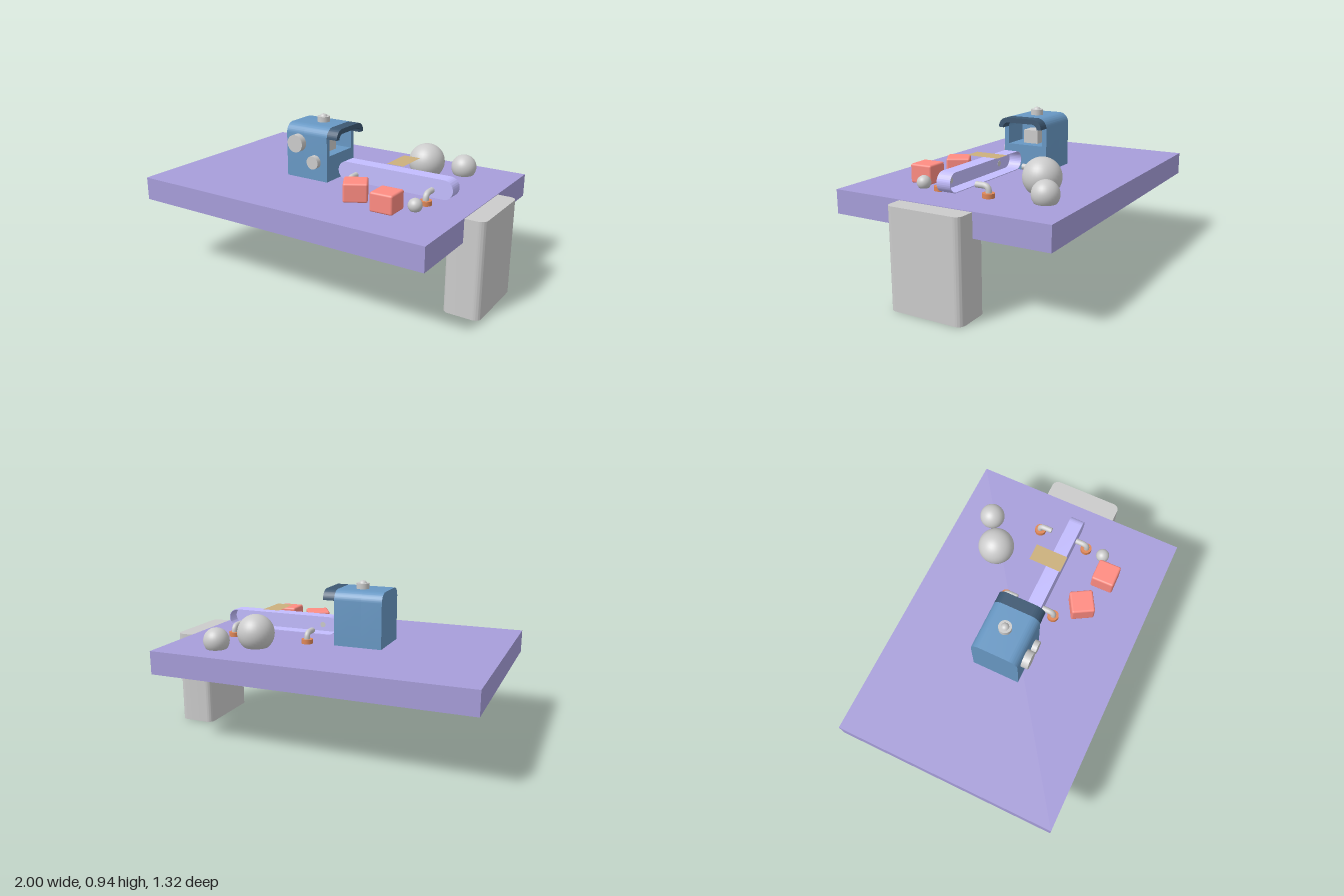
import * as THREE from 'three';
import { toCreasedNormals } from 'three/addons/utils/BufferGeometryUtils.js';
import { RoundedBoxGeometry } from 'three/addons/geometries/RoundedBoxGeometry.js';

const GROUND = 0.57; // height of the platform top
const material = (color) => new THREE.MeshStandardMaterial({ color });
const grey = material(0xcccccc);
const violet = material(0xa79eda);
const lilac = material(0xc3bdff);
const blue = material(0x6898c4);
const darkBlue = material(0x3d5872);
const red = material(0xff8c82);
const orange = material(0xe08858);
const tan = new THREE.MeshStandardMaterial({ color: 0xcbb07c, side: THREE.DoubleSide });

// Rectangle outline with separate corner radii for bottom and top
function roundedRect(path, x0, y0, x1, y1, bottom, top) {
  path.moveTo(x0 + bottom, y0);
  path.lineTo(x1 - bottom, y0);
  if (bottom) path.absarc(x1 - bottom, y0 + bottom, bottom, -Math.PI / 2, 0);
  path.lineTo(x1, y1 - top);
  if (top) path.absarc(x1 - top, y1 - top, top, 0, Math.PI / 2);
  path.lineTo(x0 + top, y1);
  if (top) path.absarc(x0 + top, y1 - top, top, Math.PI / 2, Math.PI);
  path.lineTo(x0, y0 + bottom);
  if (bottom) path.absarc(x0 + bottom, y0 + bottom, bottom, Math.PI, Math.PI * 1.5);
  return path;
}

function extrude(shape, depth) {
  const geometry = new THREE.ExtrudeGeometry(shape, { depth, bevelEnabled: false, curveSegments: 12 });
  return toCreasedNormals(geometry, 0.6);
}

// Extrude a (z, y) outline along x, starting at x0
const extrudeX = (shape, x0, x1) => extrude(shape, x1 - x0).rotateY(Math.PI / 2).translate(x0, 0, 0);

function add(parent, name, geometry, mat, x = 0, y = 0, z = 0) {
  const mesh = new THREE.Mesh(geometry, mat);
  mesh.name = name;
  mesh.position.set(x, y, z);
  parent.add(mesh);
  return mesh;
}

function createMachine() {
  const machine = new THREE.Group();
  machine.name = 'machine';
  const outline = () => roundedRect(new THREE.Shape(), -0.143, GROUND, 0.143, 0.895, 0, 0.06);

  // Solid rear and a front frame with a recessed window
  add(machine, 'machineRear', extrudeX(outline(), -0.325, -0.2), blue);
  const frame = outline();
  frame.holes.push(roundedRect(new THREE.Path(), -0.115, 0.725, 0.115, 0.865, 0, 0.035));
  add(machine, 'machineFrame', extrudeX(frame, -0.2, -0.035), blue);
  add(machine, 'windowBlock', new THREE.BoxGeometry(0.1, 0.08, 0.095), grey, -0.15, 0.765, 0);

  // Arched hood over the window
  const hood = new THREE.Shape();
  hood.moveTo(0.143, 0.835);
  hood.absarc(0.083, 0.835, 0.06, 0, Math.PI / 2);
  hood.absarc(-0.083, 0.835, 0.06, Math.PI / 2, Math.PI);
  hood.lineTo(-0.115, 0.835);
  hood.absarc(-0.082, 0.832, 0.033, Math.PI, Math.PI / 2, true);
  hood.absarc(0.082, 0.832, 0.033, Math.PI / 2, 0, true);
  hood.lineTo(0.115, 0.835);
  add(machine, 'hood', extrudeX(hood, -0.035, 0.035), darkBlue);

  // Dials on the front
  for (const [x, y, r, depth] of [[-0.237, 0.787, 0.053, 0.043], [-0.12, 0.685, 0.04, 0.033]]) {
    const dial = new THREE.CylinderGeometry(r, r, depth, 32).rotateX(Math.PI / 2);
    add(machine, 'dial', dial, grey, x, y, 0.142 + depth / 2);
  }

  // Lamp on the roof
  add(machine, 'lampBase', new THREE.CylinderGeometry(0.038, 0.038, 0.035, 32), grey, -0.163, 0.91, -0.01);
  add(machine, 'lampDome', new THREE.SphereGeometry(0.025, 24, 16), grey, -0.163, 0.918, -0.01);
  machine.position.z = -0.002;
  return machine;
}

function createConveyor() {
  const conveyor = new THREE.Group();
  conveyor.name = 'conveyor';
  const loop = (path, inset) =>
    roundedRect(path, 0.01 + inset, 0.59 + inset, 0.75 - inset, 0.702 - inset, 0.056 - inset, 0.056 - inset);

  // Belt open at the back, closed by a thin front plate
  const belt = loop(new THREE.Shape(), 0);
  belt.holes.push(loop(new THREE.Path(), 0.004));
  add(conveyor, 'belt', extrude(belt, 0.081), lilac);
  add(conveyor, 'frontPlate', extrude(loop(new THREE.Shape(), 0), 0.004), lilac, 0, 0, 0.081);

  // Flat sheet above the belt
  const sheet = new THREE.PlaneGeometry(0.105, 0.198).rotateX(-Math.PI / 2);
  add(conveyor, 'sheet', sheet, tan, 0.397, 0.74, -0.003);
  return conveyor;
}

// Elbow pipe on a round foot; side is +1 in front, -1 behind
function createPipe(x, side) {
  const pipe = new THREE.Group();
  pipe.name = 'pipe';
  const point = (y, z) => new THREE.Vector3(0, y, z * side);
  const path = new THREE.CurvePath();
  path.add(new THREE.LineCurve3(point(0.575, 0.157), point(0.6, 0.157)));
  path.add(new THREE.QuadraticBezierCurve3(point(0.6, 0.157), point(0.633, 0.157), point(0.633, 0.124)));
  path.add(new THREE.LineCurve3(point(0.633, 0.124), point(0.633, 0.08)));
  add(pipe, 'pipeElbow', new THREE.TubeGeometry(path, 24, 0.017, 16), grey);
  const end = new THREE.CircleGeometry(0.017, 16).rotateY(side > 0 ? Math.PI : 0);
  add(pipe, 'pipeEnd', end, grey, 0, 0.633, 0.08 * side);
  add(pipe, 'pipeFoot', new THREE.CylinderGeometry(0.034, 0.034, 0.026, 24), orange, 0, GROUND + 0.013, 0.155 * side);
  pipe.position.x = x;
  return pipe;
}

export function createModel() {
  const model = new THREE.Group();
  model.name = 'factoryPlatform';

  add(model, 'platform', new THREE.BoxGeometry(1.885, 0.138, 1.322), violet, -0.0575, 0.501, 0);

  // Upright slab with rounded vertical edges
  const slab = roundedRect(new THREE.Shape(), 0.78, -0.225, 1, 0.225, 0.04, 0.04);
  add(model, 'endSlab', extrude(slab, 0.567).rotateX(-Math.PI / 2), grey);

  model.add(createMachine(), createConveyor());
  for (const x of [0.133, 0.625]) for (const side of [1, -1]) model.add(createPipe(x, side));

  // Crates
  for (const [x, z, turn] of [[0.257, 0.284, 0.53], [0.488, 0.34, 0.02]]) {
    const crate = new RoundedBoxGeometry(0.138, 0.112, 0.138, 3, 0.012);
    add(model, 'crate', crate, red, x, 0.623, z).rotation.y = turn;
  }

  // Boulders
  for (const [x, y, z, r] of [[0.375, 0.652, -0.338, 0.109], [0.567, 0.616, -0.46, 0.076], [0.62, 0.6, 0.267, 0.04]]) {
    add(model, 'boulder', new THREE.SphereGeometry(r, 32, 20), grey, x, y, z);
  }
  return model;
}
